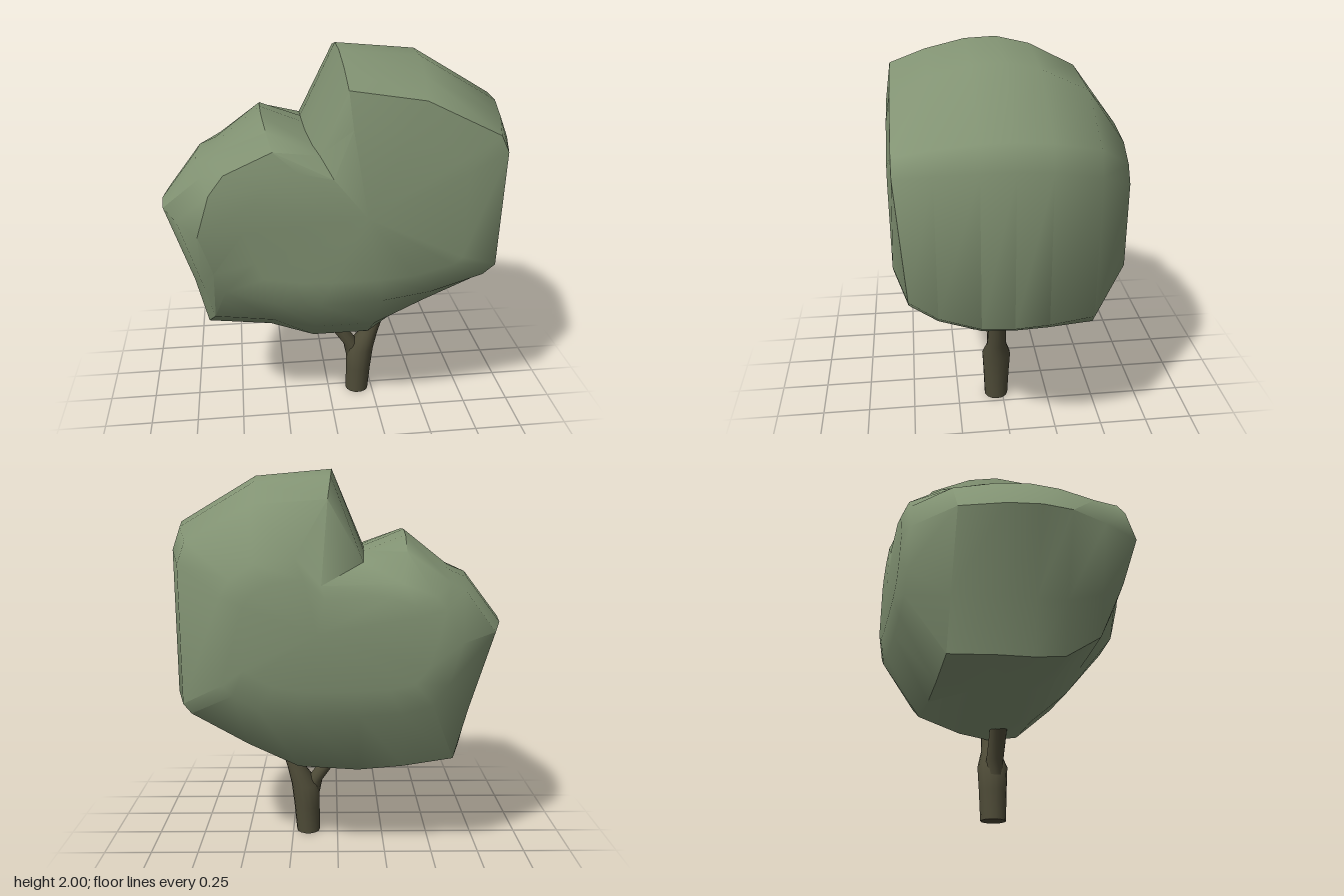
import * as THREE from 'three';
import { toCreasedNormals } from 'three/addons/utils/BufferGeometryUtils.js';

// Skins a list of closed rings and closes both ends with a fan
function loft(rings, startTip, endTip, crease) {
  const n = rings[0].length;
  const pos = [...rings.flat(2), ...startTip, ...endTip];
  const s = rings.length * n, e = s + 1, last = (rings.length - 1) * n;
  const index = [];
  for (let j = 0; j < n; j++) {
    const k = (j + 1) % n;
    for (let i = 0; i < rings.length - 1; i++) {
      const a = i * n + j, b = i * n + k;
      index.push(a, b, a + n, b, b + n, a + n);
    }
    index.push(s, k, j, e, last + j, last + k);
  }
  const geo = new THREE.BufferGeometry();
  geo.setAttribute('position', new THREE.Float32BufferAttribute(pos, 3));
  geo.setIndex(index);
  return toCreasedNormals(geo, crease);
}

const atZ = (outline, z) => outline.map(([x, y]) => [x, y, z]);
const blend = (a, b, t, z) => a.map(([x, y], i) =>
  [x + (b[i][0] - x) * t, y + (b[i][1] - y) * t, z]);
const shrink = (outline, cx, cy, sx, sy, z) => outline.map(([x, y]) =>
  [cx + (x - cx) * sx, cy + (y - cy) * sy, z]);

// Crown outlines, all running clockwise from the highest point
const widest = [
  [0.03, 2.0], [0.42, 1.965], [0.81, 1.735], [0.85, 1.62], [0.85, 0.87], [0.8, 0.83],
  [0.46, 0.64], [0.2, 0.43], [-0.1, 0.43], [-0.33, 0.52], [-0.66, 0.56], [-0.72, 0.82],
  [-0.855, 1.235], [-0.67, 1.475], [-0.58, 1.51], [-0.345, 1.695], [-0.135, 1.61]];
const front = [
  [0.03, 1.885, 0.53], [0.38, 1.83, 0.53], [0.73, 1.66, 0.53], [0.77, 1.58, 0.53],
  [0.77, 0.99, 0.49], [0.71, 0.94, 0.49], [0.45, 0.87, 0.51], [0.2, 0.85, 0.54],
  [-0.1, 0.85, 0.555], [-0.3, 0.86, 0.54], [-0.55, 0.9, 0.46], [-0.6, 1.02, 0.5],
  [-0.66, 1.24, 0.56], [-0.6, 1.43, 0.54], [-0.53, 1.52, 0.53], [-0.31, 1.62, 0.53],
  [-0.09, 1.57, 0.45]];
const rear = [
  [0.05, 1.855], [0.42, 1.83], [0.73, 1.66], [0.77, 1.55], [0.77, 0.86], [0.73, 0.81],
  [0.45, 0.65], [0.2, 0.53], [-0.1, 0.51], [-0.33, 0.53], [-0.58, 0.57], [-0.65, 0.83],
  [-0.77, 1.22], [-0.62, 1.42], [-0.55, 1.46], [-0.33, 1.61], [-0.12, 1.56]];
const back = [
  [0.2, 1.6], [0.39, 1.57], [0.5, 1.5], [0.55, 1.42], [0.55, 1.0], [0.5, 0.95],
  [0.38, 0.88], [0.2, 0.85], [-0.1, 0.85], [-0.3, 0.86], [-0.45, 0.9], [-0.52, 1.0],
  [-0.58, 1.2], [-0.5, 1.36], [-0.45, 1.42], [-0.3, 1.48], [0.08, 1.47]];

// Round limb through [x, y, z, radius] stations
function limb(stations, sides = 14) {
  const rings = stations.map(([x, y, z, r]) => Array.from({ length: sides }, (_, i) => {
    const a = (i / sides) * Math.PI * 2;
    return [x + r * Math.cos(a), y, z - r * Math.sin(a)];
  }));
  return loft(rings, stations[0].slice(0, 3), stations.at(-1).slice(0, 3), 0.9);
}

export function createModel() {
  const tree = new THREE.Group();
  tree.name = 'tree';
  const leaf = new THREE.MeshStandardMaterial({ color: 0x829373 });
  const bark = new THREE.MeshStandardMaterial({ color: 0x4f4c38 });
  const add = (name, geo, mat) => {
    const mesh = new THREE.Mesh(geo, mat);
    mesh.name = name;
    tree.add(mesh);
  };

  // Crown, from front to back
  add('crown', loft([
    shrink(front, 0.1, 1.28, 0.72, 0.72, 0.555),
    front,
    blend(widest, front, 0.45, 0.36),
    blend(widest, front, 0.06, 0.17),
    atZ(widest, 0.02),
    blend(widest, rear, 0.25, -0.14),
    atZ(rear, -0.36),
    atZ(back, -0.545),
    shrink(back, 0, 1.28, 0.8, 0.7, -0.575),
  ], [0.12, 1.3, 0.575], [0.1, 1.25, -0.58], 0.9), leaf);

  // Trunk leaning into the larger branch
  add('trunk', limb([
    [0.165, 0, 0.035, 0.065], [0.172, 0.15, 0.035, 0.071], [0.18, 0.28, 0.035, 0.078],
    [0.225, 0.37, 0.037, 0.053], [0.275, 0.52, 0.04, 0.046], [0.32, 0.7, 0.04, 0.042],
  ]), bark);

  // Smaller side branch
  add('sideBranch', limb([
    [0.155, 0.22, 0.035, 0.053], [0.13, 0.3, 0.035, 0.045],
    [0.025, 0.45, 0.03, 0.045], [-0.06, 0.56, 0.02, 0.04],
  ], 12), bark);

  return tree;
}
